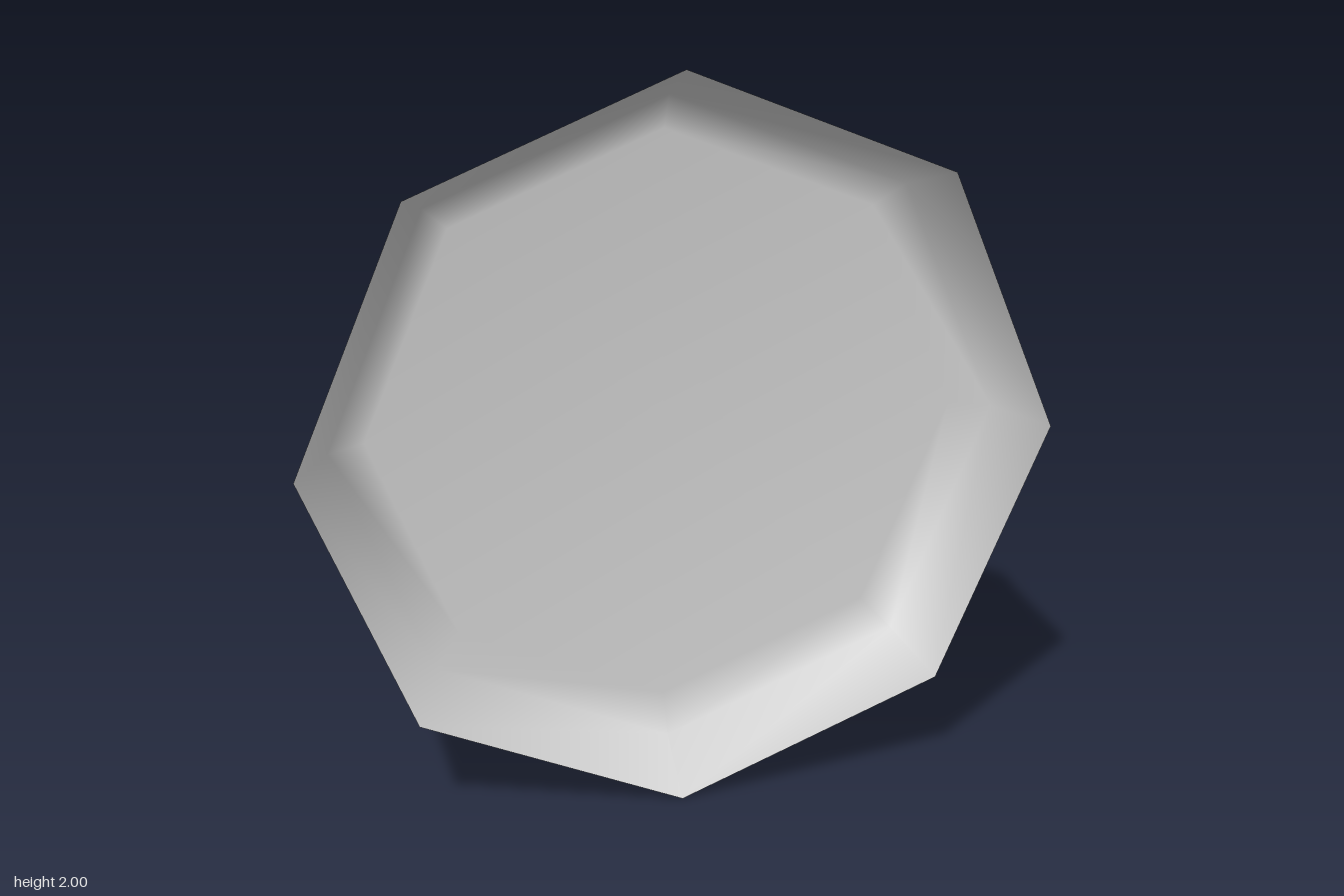
import * as THREE from 'three';
import { mergeVertices } from 'three/addons/utils/BufferGeometryUtils.js';

const SIDES = 8;

// Eight-sided turned shell about the z axis, from [radius, z] pairs, smoothly shaded
function turned(name, profile) {
  const lathe = new THREE.LatheGeometry(profile.map(([r, z]) => new THREE.Vector2(r, z)), SIDES);
  lathe.deleteAttribute('normal');
  lathe.deleteAttribute('uv');
  const geometry = mergeVertices(lathe, 1e-4);
  geometry.rotateX(Math.PI / 2);
  geometry.computeVertexNormals();
  const material = new THREE.MeshStandardMaterial({ color: 0xcccccc, side: THREE.DoubleSide });
  const mesh = new THREE.Mesh(geometry, material);
  mesh.name = name;
  mesh.position.y = 1;
  return mesh;
}

export function createModel() {
  const model = new THREE.Group();
  model.name = 'domedDish';
  // Shallow open dish: flat floor, bevel, flared wall
  model.add(turned('dish', [[0, 0.19], [0.8, 0.19], [0.9, 0.25], [1, 0.44]]));
  // Rounded dome behind the floor
  model.add(turned('dome', [[0, -0.44], [0.36, -0.345], [0.62, -0.09], [0.718, 0.19]]));
  return model;
}
